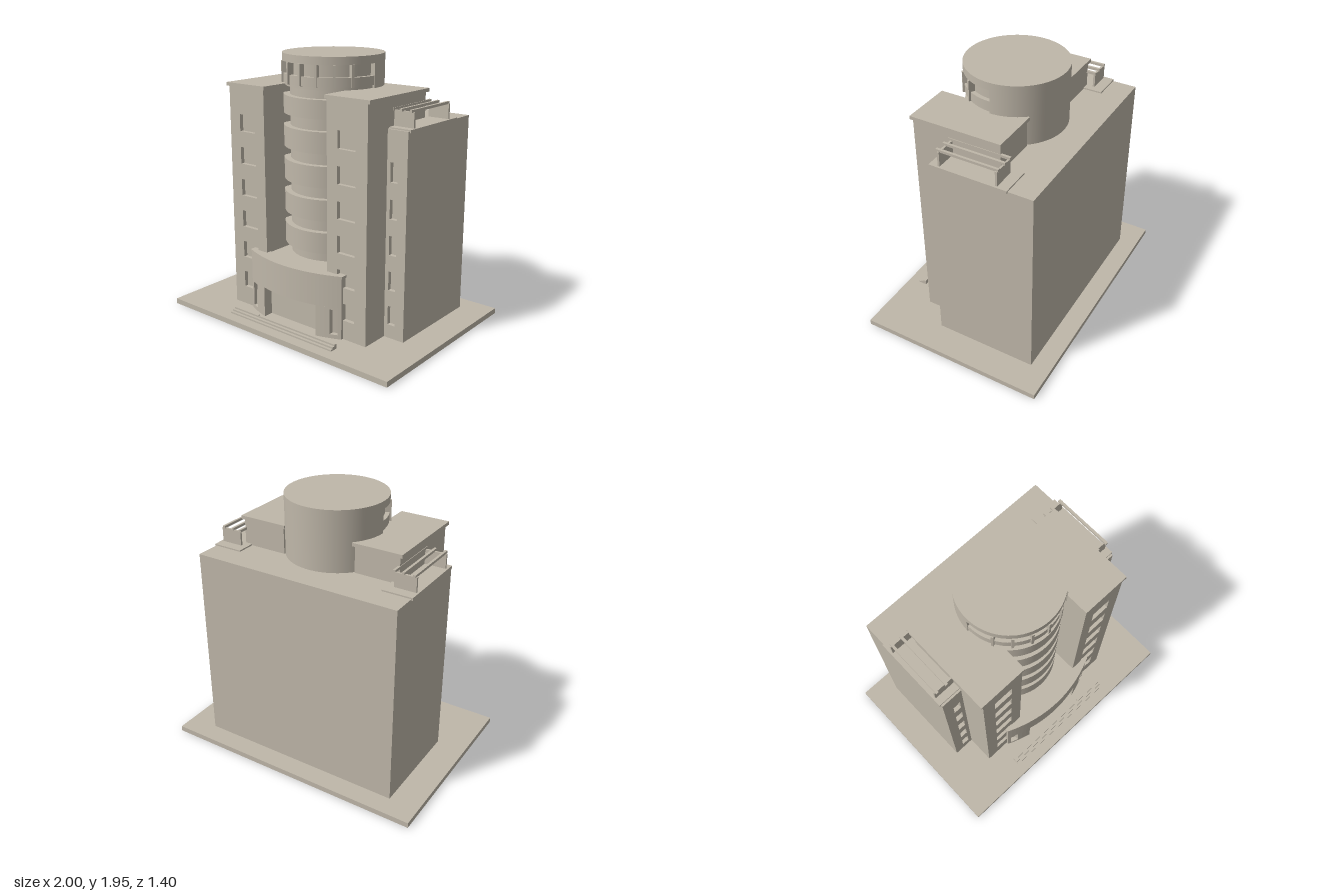
import * as THREE from 'three';

const stone = new THREE.MeshStandardMaterial({ color: 0xbfb7a9 });
stone.name = 'stone';

export function createModel() {
  const model = new THREE.Group();
  model.name = 'building';

  const add = (name, geometry, parent = model) => {
    const mesh = new THREE.Mesh(geometry, stone);
    mesh.name = name;
    parent.add(mesh);
    return mesh;
  };
  // Box given by its limits on each axis
  const box = (name, x0, x1, y0, y1, z0, z1, parent) =>
    add(name, new THREE.BoxGeometry(x1 - x0, y1 - y0, z1 - z0), parent)
      .position.set((x0 + x1) / 2, (y0 + y1) / 2, (z0 + z1) / 2);
  const drum = (name, r, y0, y1) =>
    add(name, new THREE.CylinderGeometry(r, r, y1 - y0, 72)).position.y = (y0 + y1) / 2;

  // Facade plate with a column of rectangular window openings
  const facade = (name, x0, x1, y0, y1, zFront, depth, win, parent) => {
    const rect = (S, a, b, c, d) => {
      const s = new S();
      s.moveTo(a, c); s.lineTo(b, c); s.lineTo(b, d); s.lineTo(a, d); s.closePath();
      return s;
    };
    const shape = rect(THREE.Shape, x0, x1, y0, y1);
    for (let i = 0; i < win.count; i++) {
      const y = win.y + i * win.step;
      shape.holes.push(rect(THREE.Path, win.x0, win.x1, y, y + win.h));
    }
    const geo = new THREE.ExtrudeGeometry(shape, { depth, bevelEnabled: false });
    geo.translate(0, 0, zFront - depth);
    add(name, geo, parent);
  };

  // Ground slab and rear block
  box('groundSlab', -1, 1, 0, 0.04, -0.7, 0.7);
  box('rearBlock', -0.78, 0.78, 0.04, 1.51, -0.555, 0);

  // Wings, front towers and roof terraces, the same on both sides
  for (const side of [-1, 1]) {
    const half = new THREE.Group();
    half.name = side > 0 ? 'leftHalf' : 'rightHalf';
    model.add(half);
    const bx = (name, x0, x1, ...rest) =>
      side > 0 ? box(name, x0, x1, ...rest, half) : box(name, -x1, -x0, ...rest, half);
    const front = (name, x0, x1, y0, y1, z, d, w) => side > 0
      ? facade(name, x0, x1, y0, y1, z, d, w, half)
      : facade(name, -x1, -x0, y0, y1, z, d, { ...w, x0: -w.x1, x1: -w.x0 }, half);

    bx('wing', 0.285, 0.78, 0.04, 1.51, 0, 0.175);
    front('wingFacade', 0.615, 0.78, 0.04, 1.51, 0.205, 0.03,
      { x0: 0.648, x1: 0.706, y: 0.139, h: 0.137, step: 0.254, count: 5 });

    bx('tower', 0.285, 0.62, 0.04, 1.705, -0.235, 0.39);
    front('towerFacade', 0.285, 0.62, 0.04, 1.705, 0.42, 0.03,
      { x0: 0.374, x1: 0.524, y: 0.18, h: 0.124, step: 0.24, count: 6 });
    bx('towerRoof', 0.27, 0.64, 1.7, 1.725, -0.247, 0.43);

    // Terrace slab with end walls and rails
    bx('terraceSlab', 0.567, 0.79, 1.5, 1.52, -0.375, 0.19);
    bx('terraceFrontWall', 0.615, 0.775, 1.52, 1.625, 0.12, 0.135);
    bx('terraceBackWall', 0.615, 0.775, 1.52, 1.625, -0.3, -0.285);
    for (const x of [0.615, 0.68, 0.758])
      bx('terraceRail', x - 0.009, x + 0.009, 1.622, 1.64, -0.305, 0.15);
  }

  // Round shaft: recessed core with projecting storey bands
  drum('shaftCore', 0.31, 0.04, 1.92);
  for (let i = 0; i < 5; i++) {
    const y = 0.572 + i * 0.2395;
    drum('storeyBand', 0.355, y, y + (i === 4 ? 0.132 : 0.153));
  }

  // Rear half of the shaft, above the roof
  add('shaftBack', new THREE.CylinderGeometry(0.36, 0.36, 0.45, 48, 1, false, Math.PI / 2, Math.PI))
    .position.y = 1.725;
  add('shaftBackFace', new THREE.PlaneGeometry(0.72, 0.45)).position.y = 1.725;

  // Round lookout room with fins
  drum('lookoutLedge', 0.342, 1.725, 1.747);
  drum('lookoutParapet', 0.356, 1.747, 1.81);
  drum('lookoutWall', 0.325, 1.8, 1.9);
  drum('lookoutRoof', 0.361, 1.895, 1.95);
  for (let i = -3; i <= 3; i++) {
    const a = i * Math.PI / 9;
    const fin = add('lookoutFin', new THREE.BoxGeometry(0.018, 0.152, 0.055));
    fin.position.set(Math.sin(a) * 0.342, 1.82, Math.cos(a) * 0.342);
    fin.rotation.y = a;
  }

  // Entrance: slices of a bowed wall, with the front set back by inset or flat
  const bow = x => 0.53 - x * x / 1.94;
  const bowed = (name, x0, x1, y0, y1, offset = 0, flat = null) => {
    const shape = new THREE.Shape();
    shape.moveTo(x0, -0.38);
    const n = Math.max(2, Math.round((x1 - x0) / 0.03));
    for (let i = 0; i <= n; i++) {
      const x = x0 + (x1 - x0) * i / n;
      shape.lineTo(x, -(flat ?? bow(x) + offset));
    }
    shape.lineTo(x1, -0.38);
    shape.closePath();
    const geo = new THREE.ExtrudeGeometry(shape, { depth: y1 - y0, bevelEnabled: false });
    geo.rotateX(-Math.PI / 2).translate(0, y0, 0);
    add(name, geo);
  };
  box('entranceCore', -0.285, 0.285, 0.04, 0.5, 0, 0.42);
  bowed('entranceUpperWall', -0.425, 0.425, 0.27, 0.49);
  bowed('entranceCanopy', -0.432, 0.432, 0.488, 0.506, 0.004);
  bowed('doorway', -0.245, 0.245, 0.04, 0.27, 0, 0.425);
  for (const s of [-1, 1]) {
    const part = (name, a, b, y0, y1, o) => bowed(name, Math.min(a * s, b * s), Math.max(a * s, b * s), y0, y1, o);
    part('entrancePier', 0.245, 0.345, 0.04, 0.27);
    part('entranceWindow', 0.345, 0.402, 0.07, 0.255, -0.035);
    part('entranceWindowSill', 0.345, 0.402, 0.04, 0.07);
    part('entranceWindowHead', 0.345, 0.402, 0.255, 0.27);
    part('entranceEnd', 0.402, 0.425, 0.04, 0.27);
    box('stepEnd', Math.min(s * 0.24, s * 0.48), Math.max(s * 0.24, s * 0.48), 0.04, 0.075, 0.555, 0.57);
  }

  // Front steps
  for (let i = 0; i < 3; i++)
    box('step', -0.48, 0.48, 0.04, 0.075 - i * 0.012, 0.57, 0.577 + i * 0.02);

  return model;
}
